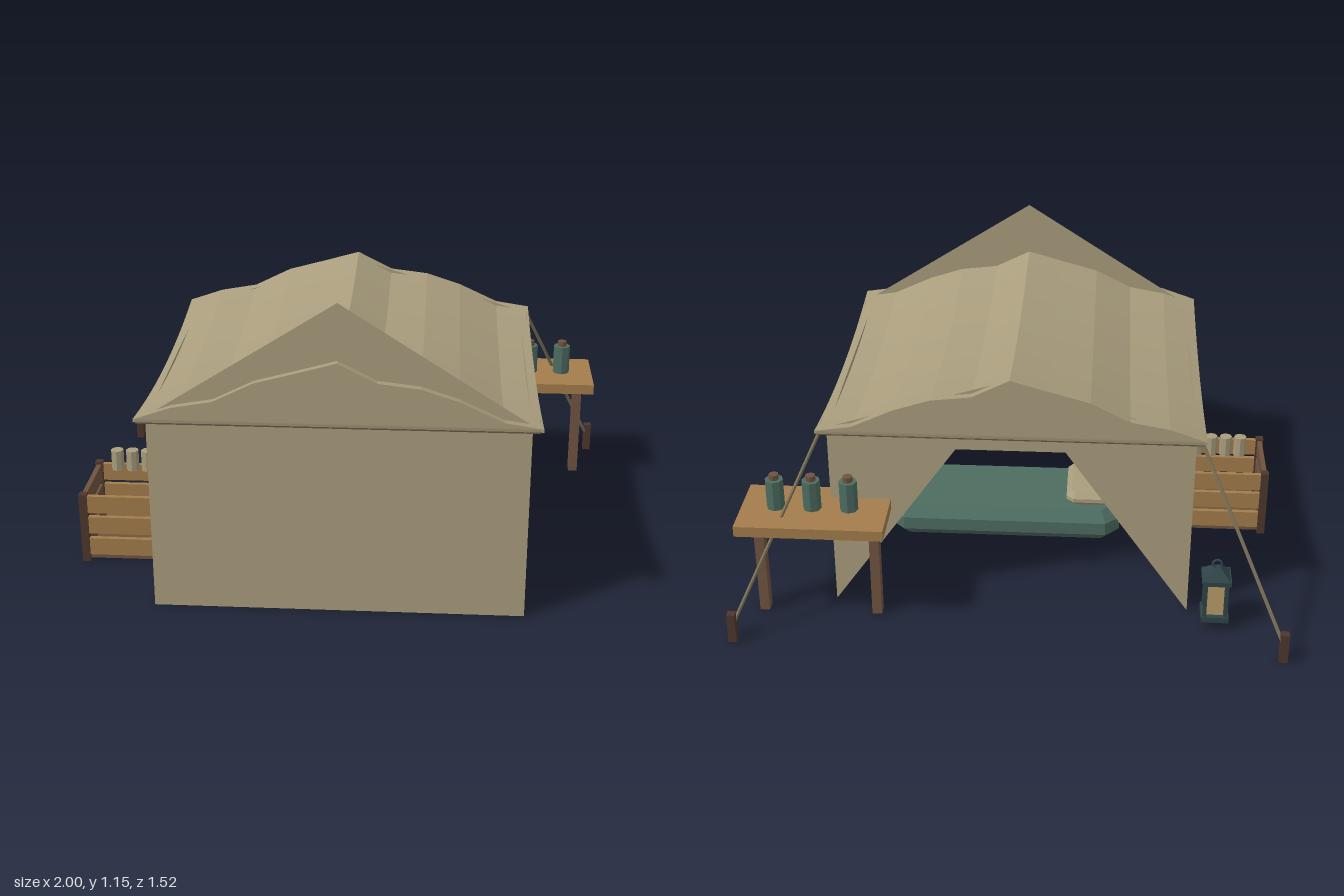
import * as THREE from 'three';

const mat = (name, color, extra = {}) =>
  Object.assign(new THREE.MeshStandardMaterial({ color, flatShading: true, ...extra }), { name });

export function createModel() {
  const root = new THREE.Group();
  root.name = 'campTent';

  const canvas = mat('canvas', 0xa99d7d, { side: THREE.DoubleSide });
  const trim = mat('canvasTrim', 0x857a60);
  const rope = mat('rope', 0x7d7358);
  const wood = mat('wood', 0xa27c4b);
  const brown = mat('brownWood', 0x705340);
  const dark = mat('darkWood', 0x4d362c);
  const green = mat('greenCloth', 0x4c6c60);
  const iron = mat('lanternMetal', 0x2f4346);
  const glass = mat('lanternGlass', 0xb89c6a);

  const add = (parent, name, geo, material, x = 0, y = 0, z = 0) => {
    const m = new THREE.Mesh(geo, material);
    m.name = name;
    m.position.set(x, y, z);
    parent.add(m);
    return m;
  };
  const group = (name) => {
    const g = new THREE.Group();
    g.name = name;
    root.add(g);
    return g;
  };
  const box = (p, name, material, w, h, d, x, y, z) =>
    add(p, name, new THREE.BoxGeometry(w, h, d), material, x, y, z);
  const cyl = (p, name, material, rt, rb, h, x, y, z, n = 8) =>
    add(p, name, new THREE.CylinderGeometry(rt, rb, h, n), material, x, y, z);
  const tube = (p, name, material, pts, r, seg = 1) =>
    add(p, name, new THREE.TubeGeometry(
      new THREE.CatmullRomCurve3(pts.map((q) => new THREE.Vector3(...q))), seg, r, 6), material);
  const sheet = (p, name, pts, z) =>
    add(p, name, new THREE.ShapeGeometry(
      new THREE.Shape(pts.map((q) => new THREE.Vector2(...q)))), canvas, 0, 0, z);

  // Canvas walls, tall front gable and the two tied-back entrance flaps
  const tent = group('tent');
  const W = 0.655, H = 0.73, ZF = 0.71, ZB = -0.46;
  sheet(tent, 'frontWall', [[-W, 0], [W, 0], [W, H], [0, 1.15], [-W, H]], ZF);
  for (const s of [-1, 1]) {
    const wall = add(tent, 'sideWall', new THREE.PlaneGeometry(ZF - ZB, 0.715),
      canvas, s * W, 0.3575, (ZF + ZB) / 2);
    wall.rotation.y = s * Math.PI / 2;
    sheet(tent, 'entranceFlap', [[s * W, 0], [s * W, H], [0, 0.935]], ZB);
  }

  // Sagging roof: a thin wrinkled cross-section swept from back to front
  const Z0 = -0.5, Z1 = 0.75, rows = 12;
  const sag = (z) => 0.045 * (1 - ((z - 0.125) / 0.625) ** 2);
  const top = [[-0.69, 0.735], [-0.56, 0.78], [-0.42, 0.805], [-0.28, 0.875], [-0.134, 0.915],
    [0, 0.953], [0.134, 0.885], [0.278, 0.868], [0.41, 0.825], [0.56, 0.755], [0.69, 0.735]];
  const loop = [...top, ...top.map(([x, y]) => [x, y - 0.012]).reverse()];
  const n = loop.length, pos = [], idx = [];
  for (let j = 0; j <= rows; j++) {
    const z = Z0 + (Z1 - Z0) * j / rows;
    for (const [x, y] of loop) pos.push(x, y - sag(z), z);
  }
  for (let j = 0; j < rows; j++) {
    for (let i = 0; i < n; i++) {
      const a = j * n + i, b = j * n + (i + 1) % n;
      idx.push(a, a + n, b, b, a + n, b + n);
    }
  }
  for (let i = 0; i < top.length - 1; i++) {
    for (const o of [0, rows * n]) {
      const a = o + i, b = o + i + 1, c = o + n - 1 - i, d = o + n - 2 - i;
      idx.push(a, b, c, b, d, c);
    }
  }
  const roof = new THREE.BufferGeometry();
  roof.setAttribute('position', new THREE.Float32BufferAttribute(pos, 3));
  roof.setIndex(idx);
  roof.computeVertexNormals();
  add(tent, 'roof', roof, canvas);

  // Eave hems and end cords
  for (const s of [-1, 1]) {
    const pts = [];
    for (let j = 0; j <= 6; j++) {
      const z = Z0 + (Z1 - Z0) * j / 6;
      pts.push([s * 0.678, 0.727 - sag(z), z]);
    }
    tube(tent, 'eaveHem', trim, pts, 0.01, 12);
  }
  for (const z of [Z0, Z1]) tube(tent, 'endCord', trim, [[-0.68, 0.728, z], [0.68, 0.728, z]], 0.008);

  // Guy ropes and stakes
  for (const s of [-1, 1]) {
    tube(root, 'guyRope', rope, [[s * 0.675, 0.725, -0.495], [s * 0.985, 0.06, -0.745]], 0.007);
    box(root, 'stake', dark, 0.03, 0.115, 0.03, s * 0.985, 0.0575, -0.745);
  }

  // Side table with three canteens
  const table = group('table');
  box(table, 'tableTop', wood, 0.53, 0.04, 0.295, 0.7, 0.42, -0.535);
  for (const x of [0.49, 0.91]) box(table, 'tableLeg', brown, 0.036, 0.4, 0.044, x, 0.2, -0.53);
  for (const x of [0.575, 0.708, 0.84]) {
    cyl(table, 'canteen', green, 0.033, 0.033, 0.115, x, 0.4975, -0.535);
    cyl(table, 'canteenCap', brown, 0.018, 0.018, 0.022, x, 0.564, -0.535);
  }

  // Lantern
  const lantern = group('lantern');
  lantern.position.set(-0.75, 0, -0.535);
  box(lantern, 'lanternBase', iron, 0.1, 0.022, 0.1, 0, 0.047, 0);
  box(lantern, 'lanternGlass', glass, 0.06, 0.13, 0.06, 0, 0.12, 0);
  for (const x of [-1, 1]) for (const z of [-1, 1])
    box(lantern, 'lanternPost', iron, 0.013, 0.15, 0.013, x * 0.038, 0.125, z * 0.038);
  box(lantern, 'lanternRim', iron, 0.105, 0.018, 0.105, 0, 0.203, 0);
  cyl(lantern, 'lanternRoof', iron, 0.02, 0.068, 0.035, 0, 0.229, 0, 4).rotation.y = Math.PI / 4;
  add(lantern, 'lanternRing', new THREE.TorusGeometry(0.016, 0.005, 5, 10), iron, 0, 0.26, 0);

  // Slatted crate
  const crate = group('crate');
  const cx0 = -0.97, cx1 = -0.64, cz0 = 0.108, cz1 = 0.395;
  const cx = (cx0 + cx1) / 2, cz = (cz0 + cz1) / 2;
  box(crate, 'crateFloor', brown, cx1 - cx0, 0.02, cz1 - cz0, cx, 0.018, cz);
  for (const x of [cx0, cx1]) for (const z of [cz0, cz1])
    box(crate, 'cratePost', dark, 0.03, 0.275, 0.03, x, 0.1375, z);
  for (const y of [0.06, 0.148, 0.233]) {
    for (const z of [cz0, cz1]) box(crate, 'longSlat', wood, cx1 - cx0, 0.068, 0.018, cx, y, z);
    for (const x of [cx0, cx1]) box(crate, 'endSlat', brown, 0.018, 0.068, cz1 - cz0, x, y, cz);
  }

  // Row of tin cups above the crate
  for (let i = 0; i < 4; i++)
    cyl(root, 'cup', canvas, 0.024, 0.024, 0.08, -0.873 + i * 0.057, 0.335, 0.215);

  // Chamfered mattress and pillow inside the tent
  const cushion = (name, material, w, h, d, b, x, y, z) => {
    const hw = w / 2 - b, hd = d / 2 - b, c = b * 0.8;
    const s = new THREE.Shape([[-hw + c, -hd], [hw - c, -hd], [hw, -hd + c], [hw, hd - c],
      [hw - c, hd], [-hw + c, hd], [-hw, hd - c], [-hw, -hd + c]].map((q) => new THREE.Vector2(...q)));
    const g = new THREE.ExtrudeGeometry(s, {
      depth: h - 2 * b, bevelEnabled: true, bevelSize: b, bevelThickness: b, bevelSegments: 1 });
    g.rotateX(-Math.PI / 2);
    add(root, name, g, material, x, y + b, z);
  };
  cushion('mattress', green, 0.9, 0.13, 0.4, 0.04, 0.05, 0.05, 0.1);
  cushion('pillow', canvas, 0.18, 0.055, 0.28, 0.02, -0.28, 0.178, 0.1);

  return root;
}
